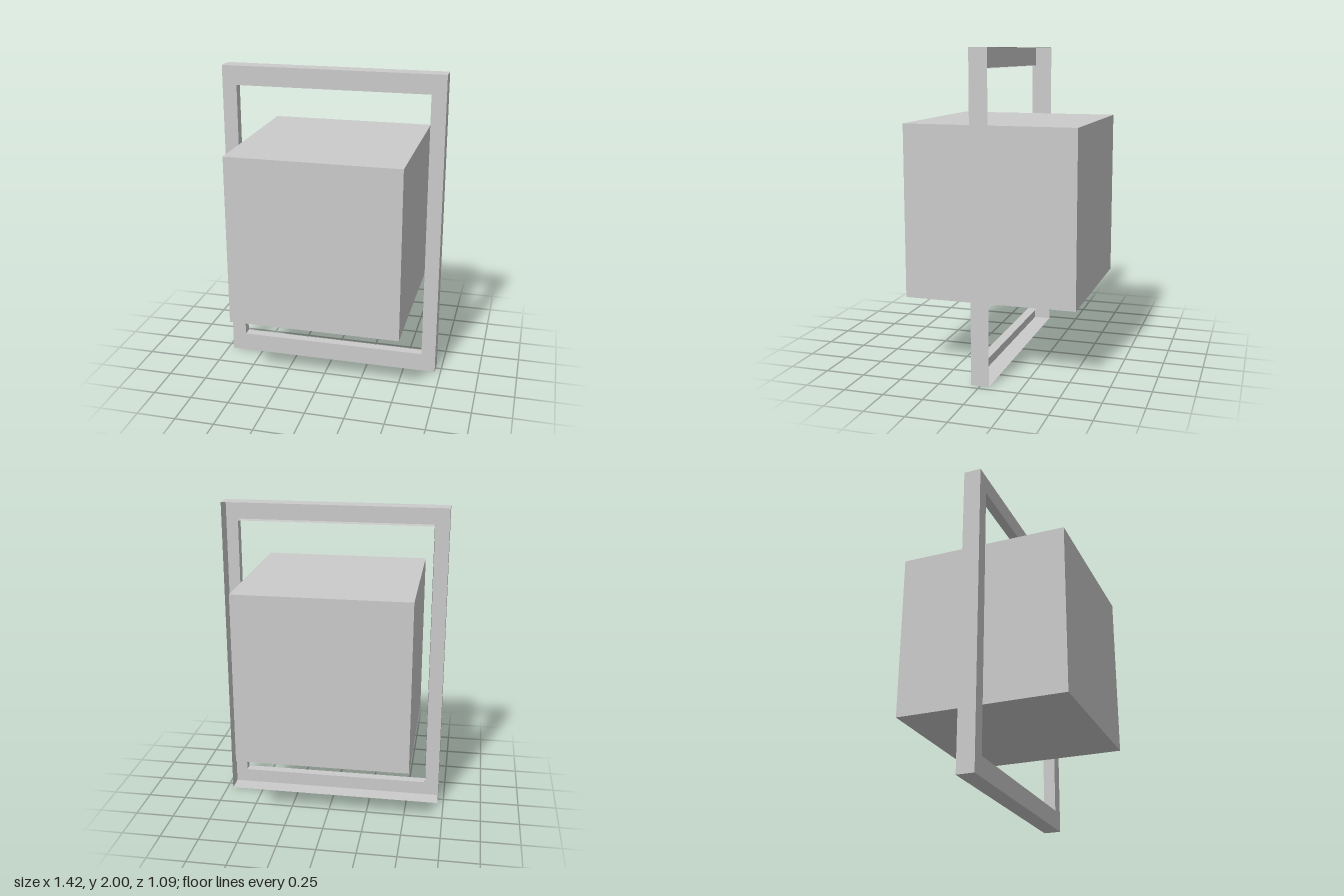
import * as THREE from 'three';

const material = new THREE.MeshStandardMaterial({ color: 0xcccccc, flatShading: true, side: THREE.DoubleSide });

// Sheet frame: a profile of [halfWidth, halfHeight, z] swept round a rectangle.
function sweepRectangle(profile) {
  const corners = [[1, 1], [-1, 1], [-1, -1], [1, -1]];
  const point = ([w, h, z], [sx, sy]) => [w * sx, h * sy, z];
  const positions = [];
  for (let i = 0; i < profile.length - 1; i++) {
    for (let c = 0; c < 4; c++) {
      const next = corners[(c + 1) % 4];
      const a = point(profile[i], corners[c]);
      const b = point(profile[i], next);
      const d = point(profile[i + 1], corners[c]);
      const e = point(profile[i + 1], next);
      positions.push(...a, ...b, ...e, ...a, ...e, ...d);
    }
  }
  const geometry = new THREE.BufferGeometry();
  geometry.setAttribute('position', new THREE.Float32BufferAttribute(positions, 3));
  geometry.computeVertexNormals();
  return geometry;
}

export function createModel() {
  const model = new THREE.Group();
  model.name = 'framedCube';

  // Solid cube passing through the frame opening
  const cube = new THREE.Mesh(new THREE.BoxGeometry(1.086, 1.086, 1.086), material);
  cube.name = 'cube';
  cube.position.y = 1.003;
  model.add(cube);

  // Frame open at the back: deep outer wall, front face, shallow inner lip
  const frame = new THREE.Mesh(sweepRectangle([
    [0.712, 1, -0.056],
    [0.712, 1, 0.056],
    [0.619, 0.877, 0.056],
    [0.619, 0.877, -0.005],
  ]), material);
  frame.name = 'frame';
  frame.position.y = 1;
  model.add(frame);

  return model;
}
